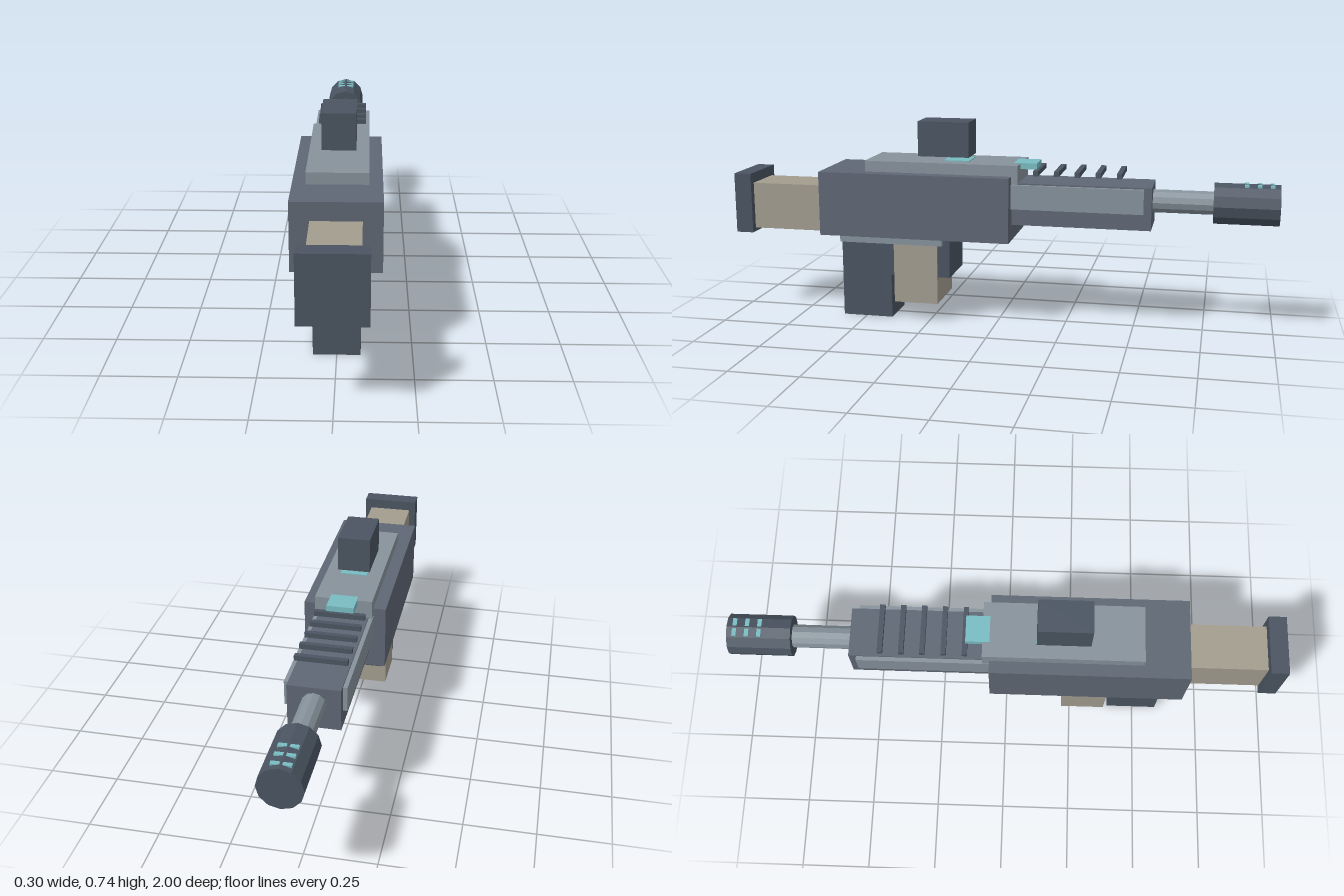
import * as THREE from 'three';

const mat = (color) => new THREE.MeshStandardMaterial({ color, flatShading: true });

export function createModel() {
  const model = new THREE.Group();
  model.name = 'blaster';

  const dark = mat(0x4a5461);
  const mid = mat(0x5e6774);
  const light = mat(0x86929b);
  const beige = mat(0xa39d8f);
  const teal = mat(0x78bcc2);

  const add = (name, geometry, material, x, y, z) => {
    const mesh = new THREE.Mesh(geometry, material);
    mesh.name = name;
    mesh.position.set(x, y, z);
    model.add(mesh);
    return mesh;
  };

  // Block centred on x = 0, given its half width and its y and z ranges
  const block = (name, material, halfX, y0, y1, z0, z1) =>
    add(name, new THREE.BoxGeometry(halfX * 2, y1 - y0, z1 - z0), material, 0, (y0 + y1) / 2, (z0 + z1) / 2);

  // Faceted rod along z with a ridge on top
  const rod = (name, material, radius, z0, z1) => {
    const geometry = new THREE.CylinderGeometry(radius, radius, z1 - z0, 12).rotateX(Math.PI / 2);
    return add(name, geometry, material, 0, 0.472, (z0 + z1) / 2);
  };

  // Body
  block('receiver', mid, 0.148, 0.322, 0.558, -0.06, 0.65);
  block('topCover', light, 0.103, 0.53, 0.598, -0.085, 0.485);
  block('lowerPlate', light, 0.115, 0.292, 0.33, 0.195, 0.585);

  // Stock
  block('stock', beige, 0.083, 0.322, 0.495, 0.64, 0.94);
  block('buttPlate', dark, 0.108, 0.308, 0.533, 0.935, 1);

  // Grip and magazine
  block('grip', dark, 0.079, 0, 0.325, 0.4, 0.59);
  block('magazineWell', dark, 0.098, 0.17, 0.325, 0.17, 0.41);
  block('magazine', beige, 0.108, 0.07, 0.325, 0.215, 0.38);

  // Sight floating above its lit base
  block('sight', dark, 0.059, 0.614, 0.742, 0.105, 0.295);
  block('sightBase', teal, 0.049, 0.585, 0.601, 0.105, 0.2);
  block('indicator', teal, 0.049, 0.578, 0.6, -0.145, -0.06);

  // Handguard with side panels and cooling slats
  block('handguard', mid, 0.09, 0.38, 0.533, -0.56, -0.05);
  for (const side of [-1, 1]) {
    add('sidePanel', new THREE.BoxGeometry(0.018, 0.088, 0.48), light, side * 0.096, 0.484, -0.293);
  }
  for (let i = 0; i < 5; i++) {
    const z = -0.147 - i * 0.0745;
    block('coolingSlat', dark, 0.09, 0.561, 0.579, z - 0.009, z + 0.009);
  }

  // Barrel and muzzle with lit vents
  rod('barrel', light, 0.042, -0.8, -0.54);
  rod('muzzle', dark, 0.074, -1, -0.772);
  for (let i = 0; i < 3; i++) {
    const z = -0.972 + i * 0.044;
    block('muzzleVent', teal, 0.033, 0.53, 0.5448, z - 0.0075, z + 0.0075);
  }

  return model;
}
